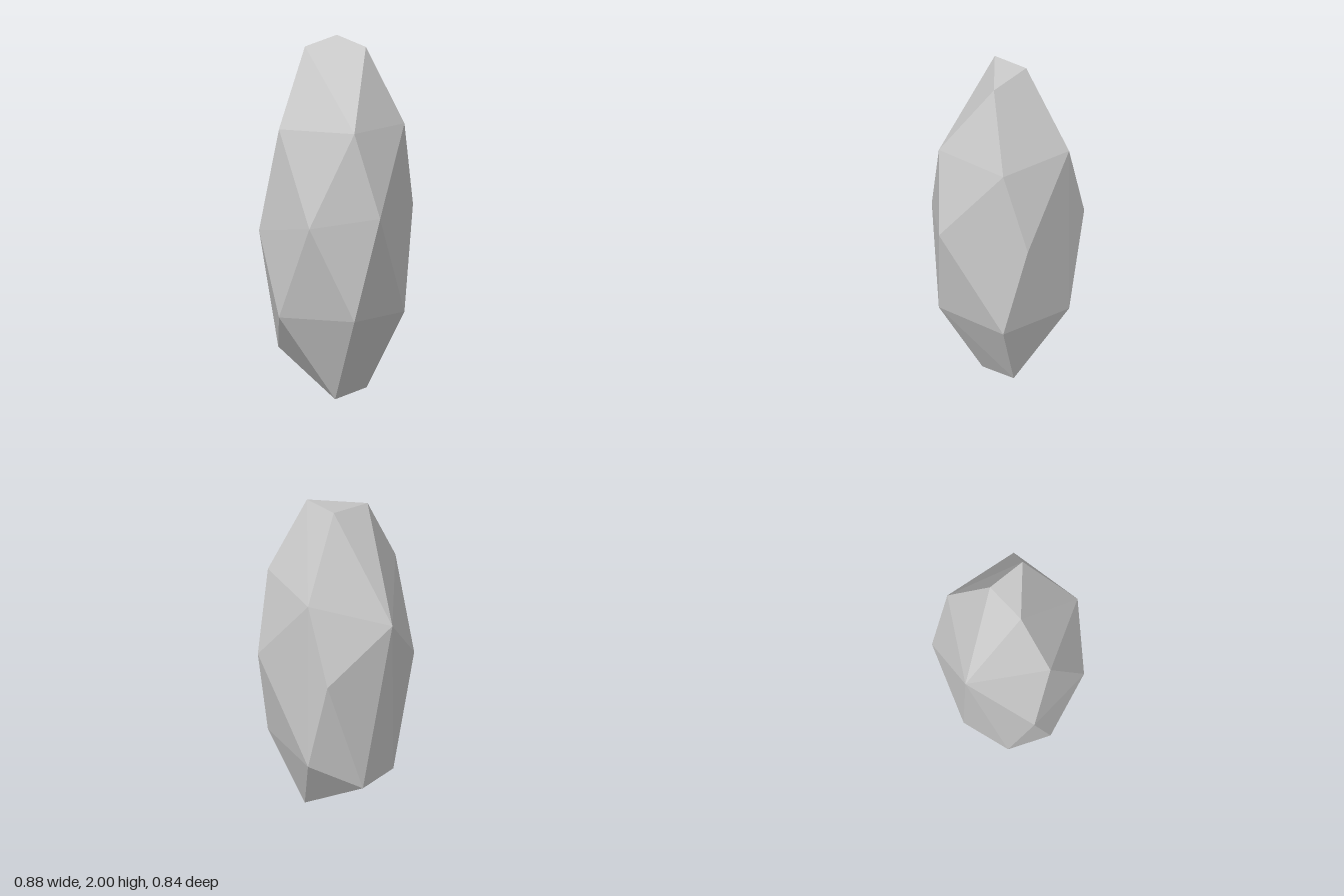
import * as THREE from 'three';
import { ConvexGeometry } from 'three/addons/geometries/ConvexGeometry.js';

// Faceted, elongated stone: the flat-faced hull around a few rings of corners.
export function createModel() {
  const group = new THREE.Group();
  group.name = 'facetedStone';
  const points = [];
  const add = (x, y, z) => points.push(new THREE.Vector3(x, y, z));
  const addPolar = (degrees, radius, y) => {
    const a = THREE.MathUtils.degToRad(degrees);
    add(radius * Math.cos(a), y, radius * Math.sin(a));
  };

  // shoulder corners, the same above and below the waist (back left one is chipped away)
  for (const y of [1.528, 0.474]) {
    for (const angle of [-54, 18, 90, 162]) addPolar(angle, 0.378, y);
  }

  // waist corners
  for (const angle of [-72, 0, 72]) addPolar(angle, 0.441, 1.053);
  addPolar(180, 0.441, 0.947);
  addPolar(126, 0.423, 1.0);

  // raised corner at the back
  addPolar(-126, 0.42, 1.36);

  // small slanted top facet
  add(0.037, 2, -0.115);
  add(-0.178, 1.964, 0);
  add(0.142, 1.964, 0.104);

  // slanted bottom cut
  add(-0.037, 0, 0.115);
  add(0.176, 0.038, 0);
  add(-0.3, 0.27, -0.11);
  add(-0.088, 0.29, -0.303);

  const stone = new THREE.Mesh(
    new ConvexGeometry(points),
    new THREE.MeshStandardMaterial({ color: 0xcccccc, flatShading: true })
  );
  stone.name = 'stone';
  group.add(stone);
  return group;
}
